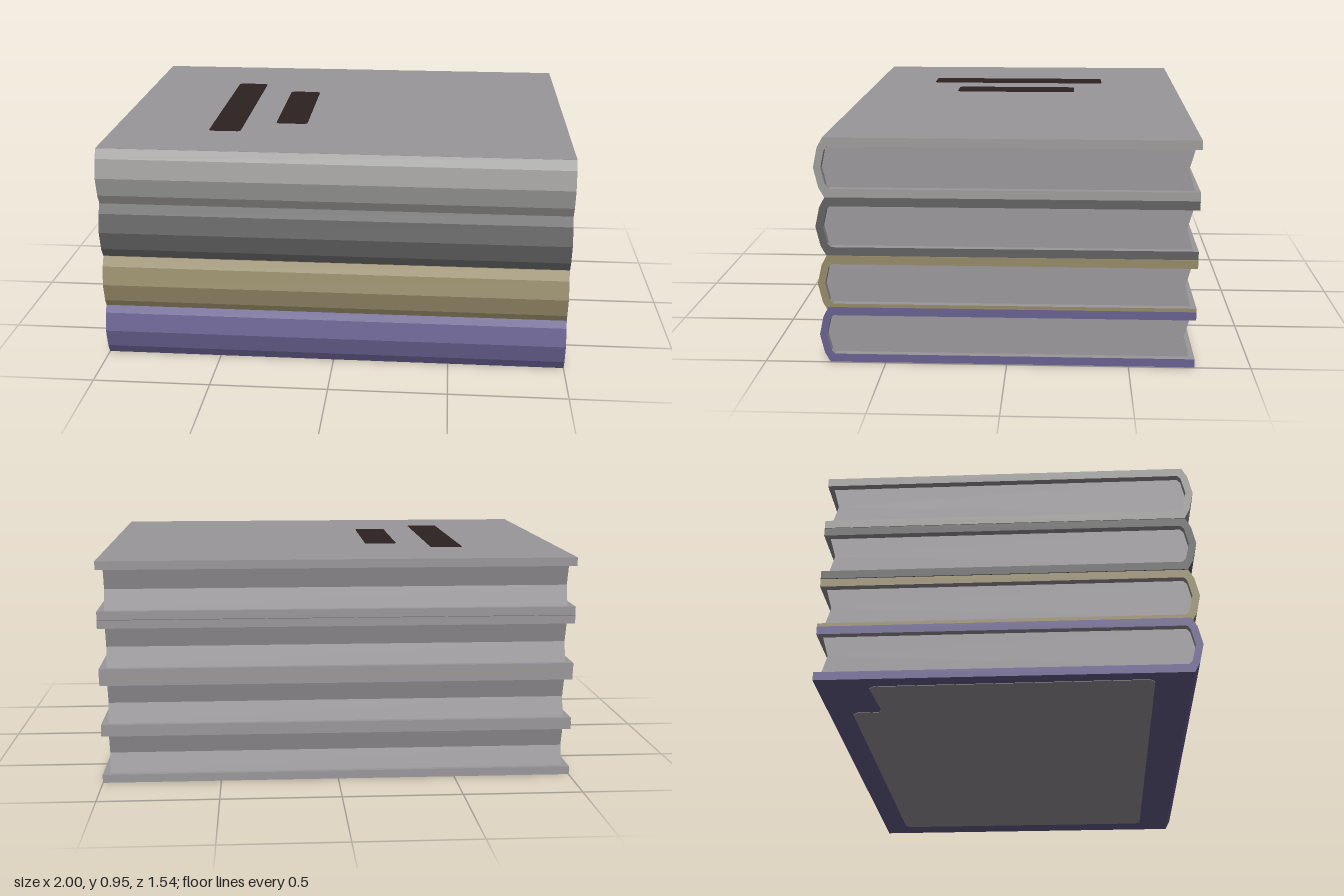
import * as THREE from 'three';

const mat = (name, color) => {
  const m = new THREE.MeshStandardMaterial({ color });
  m.name = name;
  return m;
};
const paper = mat('paper grey', 0x9a979a);
const ink = mat('dark brown', 0x2c2222);
const coverMats = {
  violet: mat('violet', 0x686090),
  tan: mat('tan', 0x958a68),
  charcoal: mat('charcoal', 0x616161),
  silver: mat('silver', 0x9d9c9a),
};

// Extrudes a [z, y] outline along x, centred on x = 0
function extrudeAlongX(points, width) {
  const shape = new THREE.Shape(points.map(([z, y]) => new THREE.Vector2(-z, y)));
  const geo = new THREE.ExtrudeGeometry(shape, { depth: width, bevelEnabled: false });
  geo.translate(0, 0, -width / 2);
  geo.rotateY(Math.PI / 2);
  return geo;
}

// Outside of the cover takes the cloth colour; its inside and back edges are paper
function paintCover(geo, y0, y1) {
  const p = geo.attributes.position, n = geo.attributes.normal;
  geo.clearGroups();
  for (let i = 0; i < p.count; i += 3) {
    const y = (p.getY(i) + p.getY(i + 1) + p.getY(i + 2)) / 3;
    const z = (p.getZ(i) + p.getZ(i + 1) + p.getZ(i + 2)) / 3;
    const end = Math.abs(n.getX(i)) > 0.9;
    const spine = n.getZ(i) > 0.1 && z > 0.7;
    const face = Math.abs(n.getY(i)) > 0.9 && (y < y0 + 0.001 || y > y1 - 0.001);
    geo.addGroup(i, 3, end || spine || face ? 0 : 1);
  }
}

function makeBook(name, material, y0, y1, width) {
  const book = new THREE.Group();
  book.name = name;
  const mid = (y0 + y1) / 2, t = 0.035, back = -0.77;

  // Folded cover with a faceted spine
  const cover = extrudeAlongX([
    [back, y0], [0.73, y0], [0.752, y0 + 0.04], [0.77, mid], [0.752, y1 - 0.04], [0.73, y1], [back, y1],
    [back, y1 - t], [0.71, y1 - t], [0.724, y1 - t - 0.015], [0.74, mid],
    [0.724, y0 + t + 0.015], [0.71, y0 + t], [back, y0 + t],
  ], width);
  paintCover(cover, y0, y1);
  const coverMesh = new THREE.Mesh(cover, [material, paper]);
  coverMesh.name = 'cover';

  // Page block with a hollowed fore-edge
  const pages = new THREE.Mesh(extrudeAlongX([
    [-0.748, y0 + t], [0.71, y0 + t], [0.724, y0 + t + 0.015], [0.74, mid],
    [0.724, y1 - t - 0.015], [0.71, y1 - t], [-0.748, y1 - t], [-0.724, mid],
  ], width - 0.06), paper);
  pages.name = 'pages';
  book.add(coverMesh, pages);
  return book;
}

// Thin horizontal plate from an [x, z] outline, facing up or down
function makePlate(name, points, y, thickness, material) {
  const shape = new THREE.Shape(points.map(([x, z]) => new THREE.Vector2(x, -z)));
  const geo = new THREE.ExtrudeGeometry(shape, { depth: thickness, bevelEnabled: false });
  geo.rotateX(-Math.PI / 2);
  const mesh = new THREE.Mesh(geo, material);
  mesh.name = name;
  mesh.position.y = y;
  return mesh;
}

// Rectangle with clipped corners
const clipped = (x0, x1, z0, z1, c) => [
  [x0 + c, z0], [x1 - c, z0], [x1, z0 + c], [x1, z1 - c],
  [x1 - c, z1], [x0 + c, z1], [x0, z1 - c], [x0, z0 + c],
];

export function createModel() {
  const model = new THREE.Group();
  model.name = 'bookStack';

  // Four books, the second sitting slightly into the first
  model.add(
    makeBook('bottomBook', coverMats.violet, 0.002, 0.24, 2),
    makeBook('secondBook', coverMats.tan, 0.22, 0.459, 1.998),
    makeBook('thirdBook', coverMats.charcoal, 0.461, 0.702, 2),
    makeBook('topBook', coverMats.silver, 0.704, 0.947, 2),
  );

  // Paper panel on top, with two dark bars
  model.add(makePlate('topPanel', [[-1, -0.77], [1, -0.77], [1, 0.73], [-1, 0.73]], 0.946, 0.002, paper));
  model.add(makePlate('longBar', clipped(-0.575, -0.435, -0.41, 0.435, 0.012), 0.947, 0.003, ink));
  model.add(makePlate('shortBar', clipped(-0.295, -0.155, -0.27, 0.295, 0.012), 0.947, 0.003, ink));

  // Notched panel on the underside
  model.add(makePlate('bottomPanel', [
    [0.89, -0.64], [0.87, -0.66], [-0.65, -0.67], [-0.67, -0.65], [-0.67, -0.56], [-0.69, -0.545],
    [-0.91, -0.56], [-0.93, -0.54], [-0.94, 0.56], [-0.92, 0.58], [0.87, 0.585], [0.89, 0.565],
  ], 0, 0.003, paper));
  return model;
}
